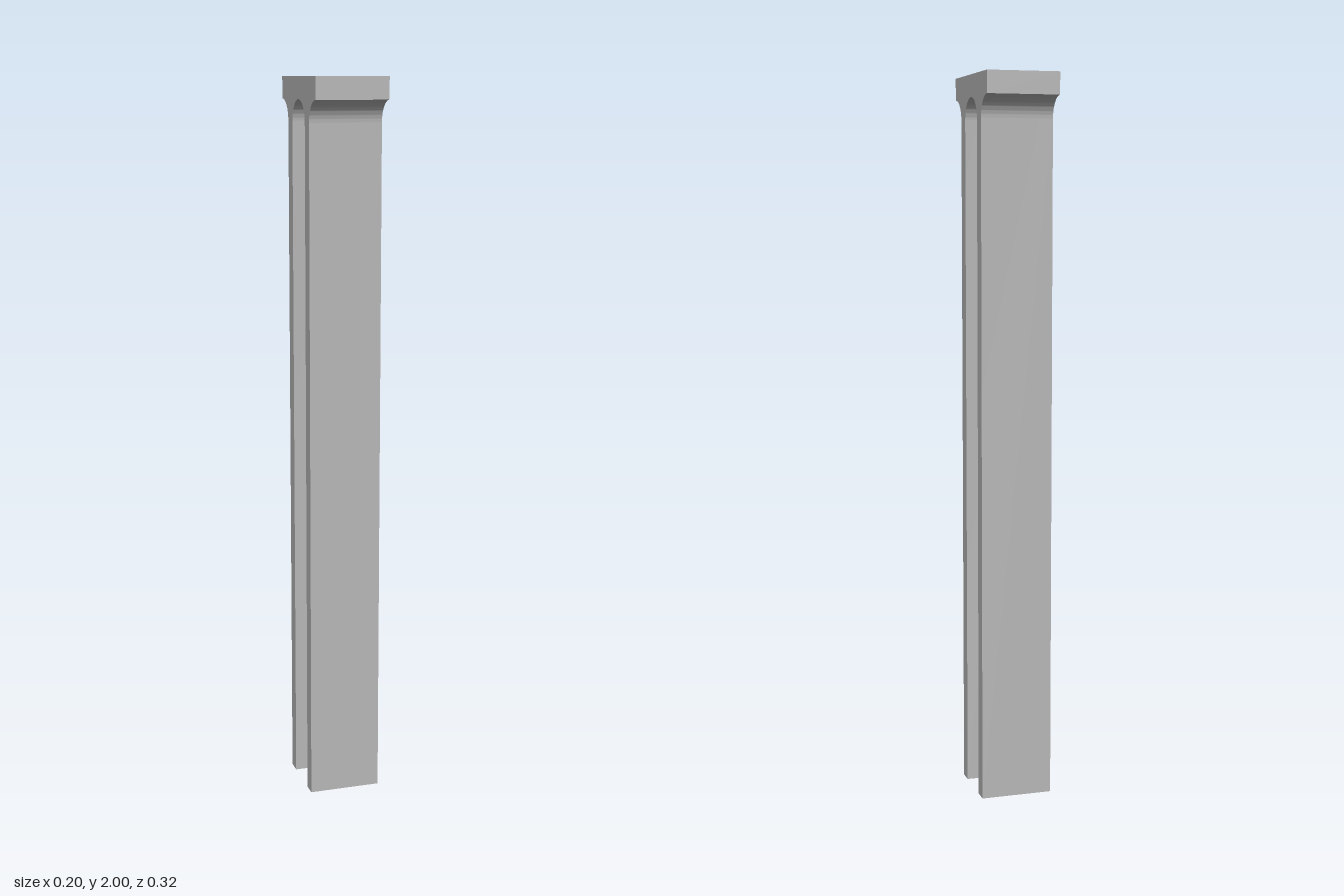
import * as THREE from 'three';
import { toCreasedNormals } from 'three/addons/utils/BufferGeometryUtils.js';

const WIDTH = 0.2;    // along x
const TOP = 2;
const SPRING = 1.88;  // height where the curves begin
const R = 0.06;       // radius of the arch and the outer fillets
const LEG = 0.1;      // outer face of each leg

export function createModel() {
  const stone = new THREE.MeshStandardMaterial({ color: 0xb8b8b8 });

  // Side profile: flat cap, concave fillets, two thin legs joined by a round arch
  const profile = new THREE.Shape();
  profile.moveTo(LEG + R, TOP);
  profile.lineTo(-LEG - R, TOP);
  profile.lineTo(-LEG - R, SPRING + R);
  profile.absarc(-LEG - R, SPRING, R, Math.PI / 2, 0, true);
  profile.lineTo(-LEG, 0);
  profile.lineTo(-R, 0);
  profile.absarc(0, SPRING, R, Math.PI, 0, true);
  profile.lineTo(R, 0);
  profile.lineTo(LEG, 0);
  profile.absarc(LEG + R, SPRING, R, Math.PI, Math.PI / 2, true);
  profile.closePath();

  const geometry = new THREE.ExtrudeGeometry(profile, {
    depth: WIDTH, bevelEnabled: false, curveSegments: 24,
  });
  geometry.translate(0, 0, -WIDTH / 2);
  geometry.rotateY(Math.PI / 2);

  const pier = new THREE.Mesh(toCreasedNormals(geometry, Math.PI / 6), stone);
  pier.name = 'twinLegPier';

  const group = new THREE.Group();
  group.name = 'bridgePier';
  group.add(pier);
  return group;
}
